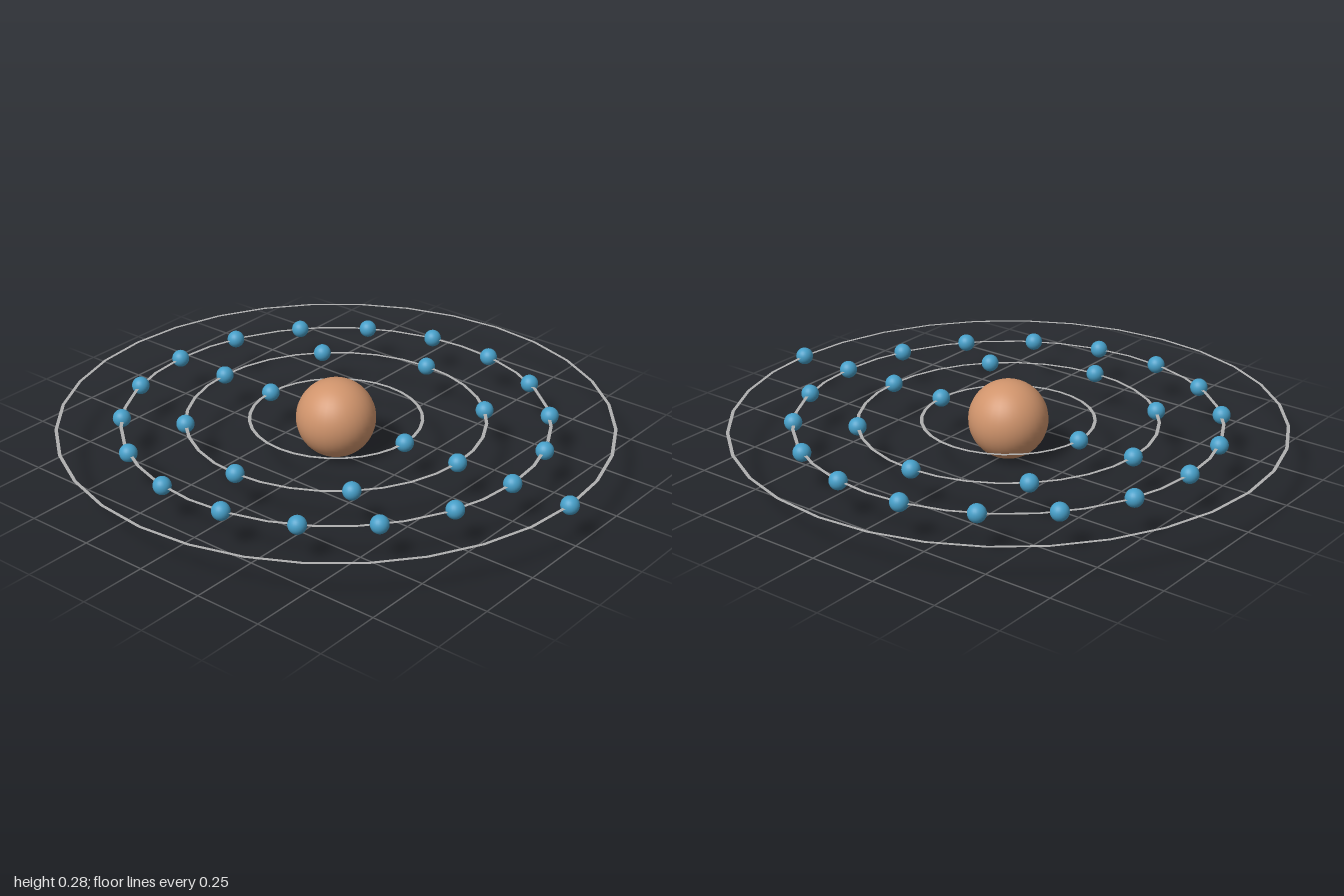
import * as THREE from 'three';

export function createModel() {
  const model = new THREE.Group();
  model.name = 'atomModel';

  const copper = new THREE.MeshStandardMaterial({ color: 0xd0946c });
  copper.name = 'copper';
  const blue = new THREE.MeshStandardMaterial({ color: 0x479fc8 });
  blue.name = 'blue';
  const grey = new THREE.MeshStandardMaterial({ color: 0xb0b0b0, side: THREE.DoubleSide });
  grey.name = 'grey';

  const atom = new THREE.Group();
  atom.name = 'atom';
  atom.position.set(-0.013, 0.142, 0);
  model.add(atom);

  // Central nucleus
  const nucleus = new THREE.Mesh(new THREE.SphereGeometry(0.142, 32, 32), copper);
  nucleus.name = 'nucleus';
  atom.add(nucleus);

  // Flat orbit rings with evenly spaced electrons
  const electronShape = new THREE.SphereGeometry(0.032, 24, 16);
  const halfWidth = 0.006;
  [2, 8, 18, 1].forEach((count, i) => {
    const radius = 0.306 + i * 0.225;
    const shell = new THREE.Group();
    shell.name = `shell${i + 1}`;

    const orbit = new THREE.Mesh(
      new THREE.RingGeometry(radius - halfWidth, radius + halfWidth, 32).rotateX(-Math.PI / 2), grey);
    orbit.name = 'orbitRing';
    shell.add(orbit);

    for (let k = 0; k < count; k++) {
      const angle = (k / count) * Math.PI * 2;
      const electron = new THREE.Mesh(electronShape, blue);
      electron.name = 'electron';
      electron.position.set(radius * Math.cos(angle), 0, radius * Math.sin(angle));
      shell.add(electron);
    }
    atom.add(shell);
  });

  return model;
}
